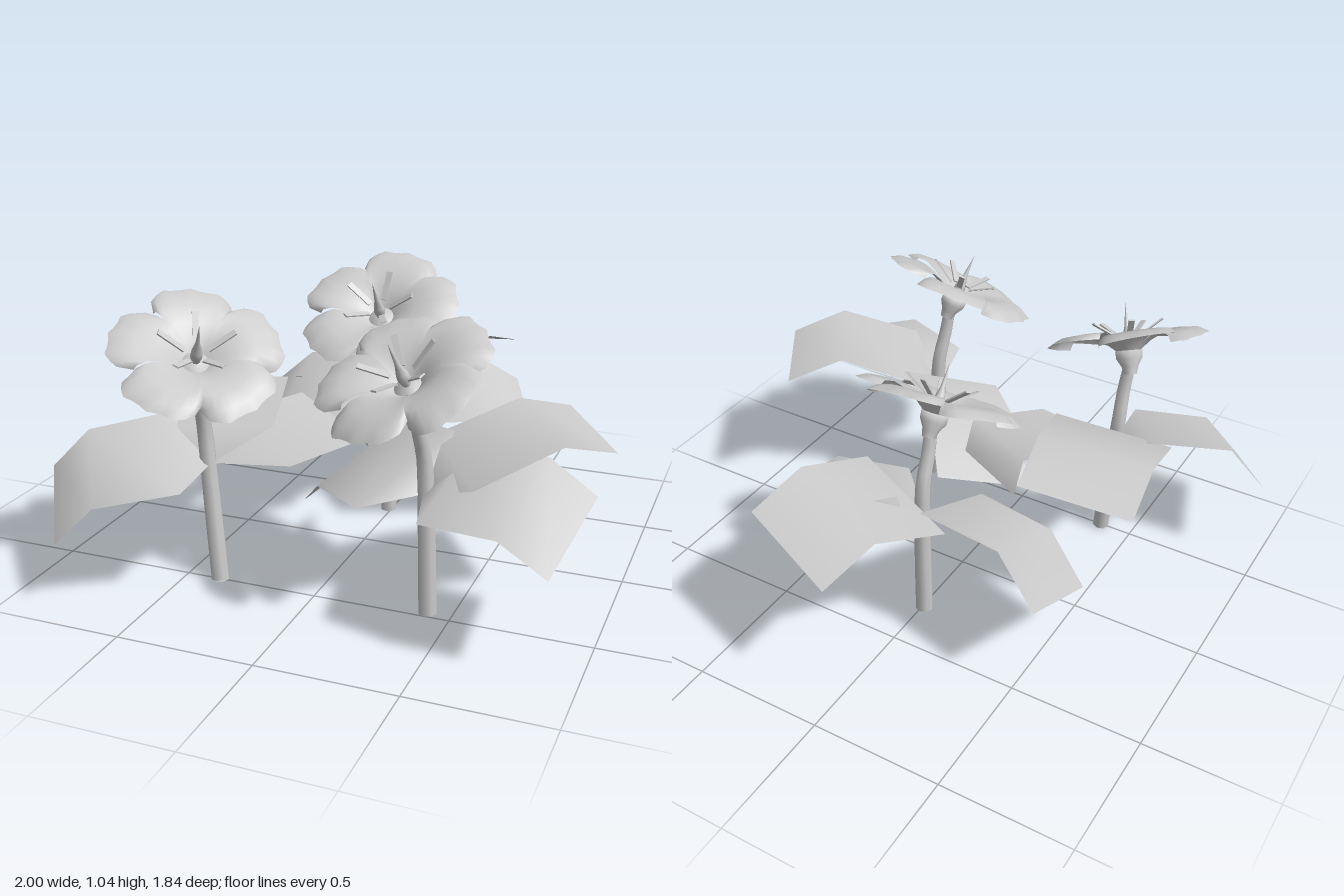
import * as THREE from 'three';

const V = (p) => new THREE.Vector3(...p);
const mat = new THREE.MeshStandardMaterial({ color: 0xcccccc, side: THREE.DoubleSide });

// Each leaf: its two tip corners (left then right, looking outward) and an optional bow direction
const BOW = [0, 0.11, 0.055];
const PLANTS = [
  {
    stem: [[-0.01, 0, -0.302], [-0.01, 0.35, -0.302], [-0.01, 0.58, -0.292], [-0.01, 0.69, -0.255]],
    head: [-0.01, 0.84, -0.2], normal: [0, 0.84, 0.54], phase: Math.PI - 0.1, root: [-0.01, 0.46, -0.3],
    leaves: [
      [[-0.02, 0.56, -0.92], [0.375, 0.63, -0.775]],
      [[0.42, 0.5, -0.655], [0.59, 0.36, -0.305]],
      [[-0.59, 0.24, -0.14], [-0.59, 0.425, -0.535]],
    ],
  },
  {
    stem: [[-0.37, 0, 0.5], [-0.405, 0.35, 0.478], [-0.42, 0.55, 0.475], [-0.42, 0.68, 0.5]],
    head: [-0.408, 0.832, 0.54], normal: [0.35, 0.87, 0.42], phase: -0.06, root: [-0.41, 0.44, 0.47],
    leaves: [
      [[-0.78, 0.245, 0.915], [-1, 0.375, 0.57]],
      [[-0.725, 0.545, -0.065], [-0.305, 0.585, -0.135]],
      [[-0.27, 0.5, -0.09], [0.065, 0.44, 0.13], [0.12, 0.085, -0.02]],
    ],
  },
  {
    stem: [[0.415, 0, 0.475], [0.405, 0.35, 0.475], [0.395, 0.57, 0.478], [0.38, 0.69, 0.505]],
    head: [0.355, 0.842, 0.545], normal: [-0.22, 0.87, 0.45], phase: -0.3, root: [0.4, 0.45, 0.475],
    leaves: [
      [[0.965, 0.5, 0.425], [0.9, 0.37, 0.81]],
      [[0.765, 0.63, -0.05], [1, 0.61, 0.305]],
      [[-0.135, 0.25, 0.27], [0.08, 0.42, -0.05]],
    ],
  },
];

function add(parent, name, geo) {
  const mesh = new THREE.Mesh(geo, mat);
  mesh.name = name;
  parent.add(mesh);
  return mesh;
}

// Broad strip that arches from a narrow root to a square-cut tip
function leafGeometry(root, [left, right, bow = BOW]) {
  const rows = [[1, 0, 1], [0.7, 1, 1.02], [0.18, 0.75, 1.08], [0, 0, 0.08]]; // along, bow, width
  const geo = new THREE.PlaneGeometry(1, 1, 1, 3);
  const mid = V(left).add(V(right)).multiplyScalar(0.5);
  const half = V(right).sub(mid);
  rows.forEach(([t, arch, w], i) => {
    [-1, 1].forEach((side, j) => {
      const p = V(root).lerp(mid, t).addScaledVector(V(bow), arch).addScaledVector(half, side * w);
      geo.attributes.position.setXYZ(i * 2 + j, p.x, p.y, p.z);
    });
  });
  geo.computeVertexNormals();
  return geo;
}

// Tube that thins toward the blossom
function stemGeometry(path, rings = 14, sides = 8) {
  const geo = new THREE.TubeGeometry(path, rings, 0.033, sides);
  const pos = geo.attributes.position;
  const p = new THREE.Vector3();
  for (let i = 0; i < pos.count; i++) {
    const t = Math.floor(i / (sides + 1)) / rings;
    p.fromBufferAttribute(pos, i).lerp(path.getPointAt(t), 0.28 * t * t);
    pos.setXYZ(i, p.x, p.y, p.z);
  }
  return geo;
}

// One fan-shaped petal: ruffled drooping rim, one side tucked under its neighbour
function petalGeometry(cols = 12) {
  const profile = [[1, 0.04], [0.88, 0.06], [0.68, 0.066], [0.46, 0.052], [0.28, 0.026], [0.14, -0.008]];
  const geo = new THREE.PlaneGeometry(1, 1, cols, profile.length - 1);
  profile.forEach(([f, y], row) => {
    for (let i = 0; i <= cols; i++) {
      const u = (i / cols) * 2 - 1; // -1..1 across the petal
      const a = -u * Math.PI / 5 * 1.03;
      const rim = 0.3 * (1 - 0.27 * Math.abs(u) ** 7) + 0.006 * Math.cos(u * Math.PI * 4);
      const r = 0.3 * f + (rim - 0.3) * f ** 3;
      const lift = (-0.012 * u * u - 0.016 * u) * f * f;
      geo.attributes.position.setXYZ(row * (cols + 1) + i, Math.sin(a) * r, y + lift, Math.cos(a) * r);
    }
  });
  geo.computeVertexNormals();
  return geo;
}

function lathe(points, sides) {
  return new THREE.LatheGeometry(points.map(([x, y]) => new THREE.Vector2(x, y)), sides);
}

function flowerHead(plant, normal) {
  const head = new THREE.Group();
  head.name = 'flowerHead';
  head.position.set(...plant.head);
  head.quaternion.setFromUnitVectors(new THREE.Vector3(0, 1, 0), normal);
  const spin = new THREE.Group();
  spin.name = 'blossom';
  spin.rotation.y = plant.phase;
  head.add(spin);

  add(spin, 'calyx', lathe([[0.024, -0.095], [0.032, -0.065], [0.05, -0.035], [0.052, -0.005], [0, 0.005]], 10));
  add(spin, 'pistil', lathe([[0.014, 0], [0.022, 0.03], [0.02, 0.05], [0.009, 0.09], [0, 0.18]], 8));

  // Five petals, each with a flat stamen fanning out above it
  const petal = petalGeometry();
  for (let i = 0; i < 5; i++) {
    const sector = new THREE.Group();
    sector.name = 'petalAndStamen';
    sector.rotation.y = (i * Math.PI * 2) / 5;
    add(sector, 'petal', petal);
    const stamen = add(sector, 'stamen', new THREE.BoxGeometry(0.022, 0.006, 0.11));
    stamen.position.set(0, 0.075, 0.09);
    stamen.rotation.x = -0.55;
    spin.add(sector);
  }
  return head;
}

export function createModel() {
  const model = new THREE.Group();
  model.name = 'flowers';
  for (const plant of PLANTS) {
    const group = new THREE.Group();
    group.name = 'plant';
    const normal = V(plant.normal).normalize();
    // Stem bends toward the blossom and ends inside the calyx
    const path = new THREE.CatmullRomCurve3([...plant.stem.map(V), V(plant.head).addScaledVector(normal, -0.06)]);
    add(group, 'stem', stemGeometry(path));
    const cap = add(group, 'stemBase', new THREE.CircleGeometry(0.033, 8));
    cap.position.set(...plant.stem[0]);
    cap.rotation.x = Math.PI / 2;
    group.add(flowerHead(plant, normal));
    for (const leaf of plant.leaves) add(group, 'leaf', leafGeometry(plant.root, leaf));
    model.add(group);
  }
  return model;
}
